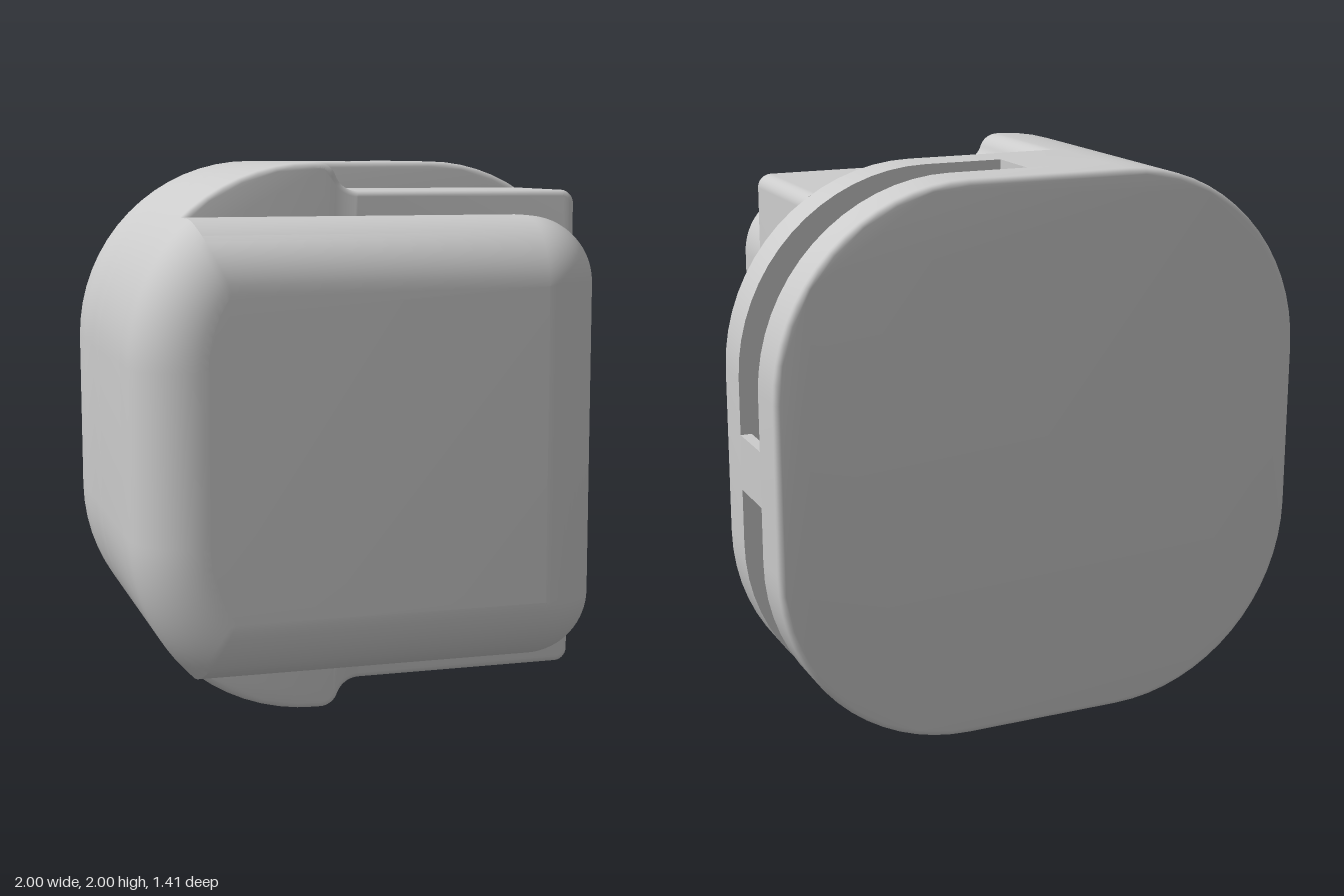
import * as THREE from 'three';
import { toCreasedNormals } from 'three/addons/utils/BufferGeometryUtils.js';

const RAD = Math.PI / 180;
const material = new THREE.MeshStandardMaterial({ color: 0xcccccc, side: THREE.DoubleSide });

// An outline is a list of arcs [cx, cy, radius, startDeg, endDeg] joined by straight
// lines; a falling angle marks a concave arc. The inset keeps every arc tangent.
function tracePoints(arcs, inset, steps = 16) {
  const points = [];
  for (const [cx, cy, r, a0, a1] of arcs) {
    const radius = a1 > a0 ? r - inset : r + inset;
    for (let i = 0; i <= steps; i++) {
      const a = (a0 + ((a1 - a0) * i) / steps) * RAD;
      points.push(new THREE.Vector2(cx + radius * Math.cos(a), cy + radius * Math.sin(a)));
    }
  }
  return points;
}

// Completes an upper half outline with its mirror image below.
function mirrorArcs(arcs) {
  const lower = arcs.map(([cx, cy, r, a0, a1]) => [cx, -cy, r, 360 - a1, 360 - a0]);
  return [...arcs, ...lower.reverse()];
}

const crease = (geometry) => {
  geometry.scale(100, 100, 100);
  const result = toCreasedNormals(geometry, 0.6);
  return result.scale(0.01, 0.01, 0.01);
};

// Skins an outline through [z, inset] sections, back to front, and caps both ends.
function loft(outline, sections) {
  const rings = sections.map(([, inset]) => tracePoints(outline(inset), inset));
  const n = rings[0].length;
  const positions = [];
  const index = [];
  rings.forEach((ring, k) => ring.forEach((p) => positions.push(p.x, p.y, sections[k][0])));
  for (let k = 0; k < rings.length - 1; k++) {
    for (let i = 0; i < n; i++) {
      const a = k * n + i;
      const b = k * n + ((i + 1) % n);
      index.push(a, b, b + n, a, b + n, a + n);
    }
  }
  const last = (rings.length - 1) * n;
  for (const [a, b, c] of THREE.ShapeUtils.triangulateShape(rings[0], [])) index.push(c, b, a);
  for (const [a, b, c] of THREE.ShapeUtils.triangulateShape(rings.at(-1), [])) {
    index.push(last + a, last + b, last + c);
  }
  const geometry = new THREE.BufferGeometry();
  geometry.setAttribute('position', new THREE.Float32BufferAttribute(positions, 3));
  geometry.setIndex(index);
  return crease(geometry);
}

// Sections of a quarter-round edge ending at z; direction +1 is front, -1 is back.
function roundedEdge(z, radius, direction, steps) {
  const sections = [];
  for (let i = 0; i <= steps; i++) {
    const a = (i / steps) * 90 * RAD;
    sections.push([z - direction * radius * (1 - Math.sin(a)), radius * (1 - Math.cos(a))]);
  }
  return direction > 0 ? sections : sections.reverse();
}

// Full rounded square
const squareArcs = mirrorArcs([
  [0.3, 0.3, 0.7, 0, 90],
  [-0.3, 0.3, 0.7, 90, 180],
]);

// Middle block: cut off on one side, stepped down at top and bottom by an S curve
const stepX = -0.28 + 0.155 * Math.cos(20 * RAD);
const stepY = 0.93 + 0.155 * Math.sin(20 * RAD);
const middleArcs = mirrorArcs([
  [0.65, 0.848, 0.05, 0, 90],
  [stepX, stepY, 0.085, 270, 200],
  [-0.28, 0.93, 0.07, 20, 90],
  [-0.3, 0.3, 0.7, 90, 180],
]);

// Front block: rounded corners on one side, the body curve on the other
const frontArcs = (inset) => {
  const start = 180 - Math.asin((0.51 - inset) / (0.7 - inset)) / RAD;
  return mirrorArcs([
    [0.463, 0.568, 0.242, 0, 90],
    [-0.3, 0.3, 0.7, start, 180],
  ]);
};

// Thin wall round the closed side of the slot, open on the other side
function slotWallGeometry(depth) {
  const half = (radius) => {
    const arcs = [
      [-0.3, 0.3, radius, 90, 180],
      [-0.3, -0.3, radius, 180, 270],
    ];
    return [
      new THREE.Vector2(0.01, 0.3 + radius),
      ...tracePoints(arcs, 0),
      new THREE.Vector2(0.01, -0.3 - radius),
    ];
  };
  const shape = new THREE.Shape([...half(0.7), ...half(0.66).reverse()]);
  return crease(new THREE.ExtrudeGeometry(shape, { depth, bevelEnabled: false }));
}

export function createModel() {
  const group = new THREE.Group();
  const add = (name, geometry, x = 0, y = 0, z = 0) => {
    const mesh = new THREE.Mesh(geometry, material);
    mesh.name = name;
    mesh.position.set(x, y + 1, z);
    group.add(mesh);
    return mesh;
  };

  const slotBack = -0.54;
  const slotFront = -0.325;
  const slotDepth = slotFront - slotBack;
  const slotMiddle = (slotBack + slotFront) / 2;

  // Two plates on either side of the slot
  add('backPlate', loft(() => squareArcs, [...roundedEdge(-0.71, 0.02, -1, 3), [slotBack, 0]]));
  add('frontPlate', loft(() => squareArcs, [[slotFront, 0], ...roundedEdge(-0.155, 0.02, 1, 3)]));

  // Slot wall, side strap and the two pins inside
  add('slotWall', slotWallGeometry(slotDepth), 0, 0, slotBack);
  add('slotStrap', new THREE.BoxGeometry(0.04, 0.2, slotDepth), 0.98, 0, slotMiddle);
  for (const side of [1, -1]) {
    const pin = new THREE.CylinderGeometry(0.125, 0.125, slotDepth, 48).rotateX(Math.PI / 2);
    add(side > 0 ? 'upperPin' : 'lowerPin', pin, 0.185, side * 0.472, slotMiddle);
  }

  // Stepped block and the soft-edged block in front of it
  add('middleBlock', loft(() => middleArcs, [[-0.175, 0], ...roundedEdge(0.352, 0.02, 1, 3)]));
  add('frontBlock', loft(frontArcs, [[0.332, 0], ...roundedEdge(0.705, 0.24, 1, 14)]));

  return group;
}
